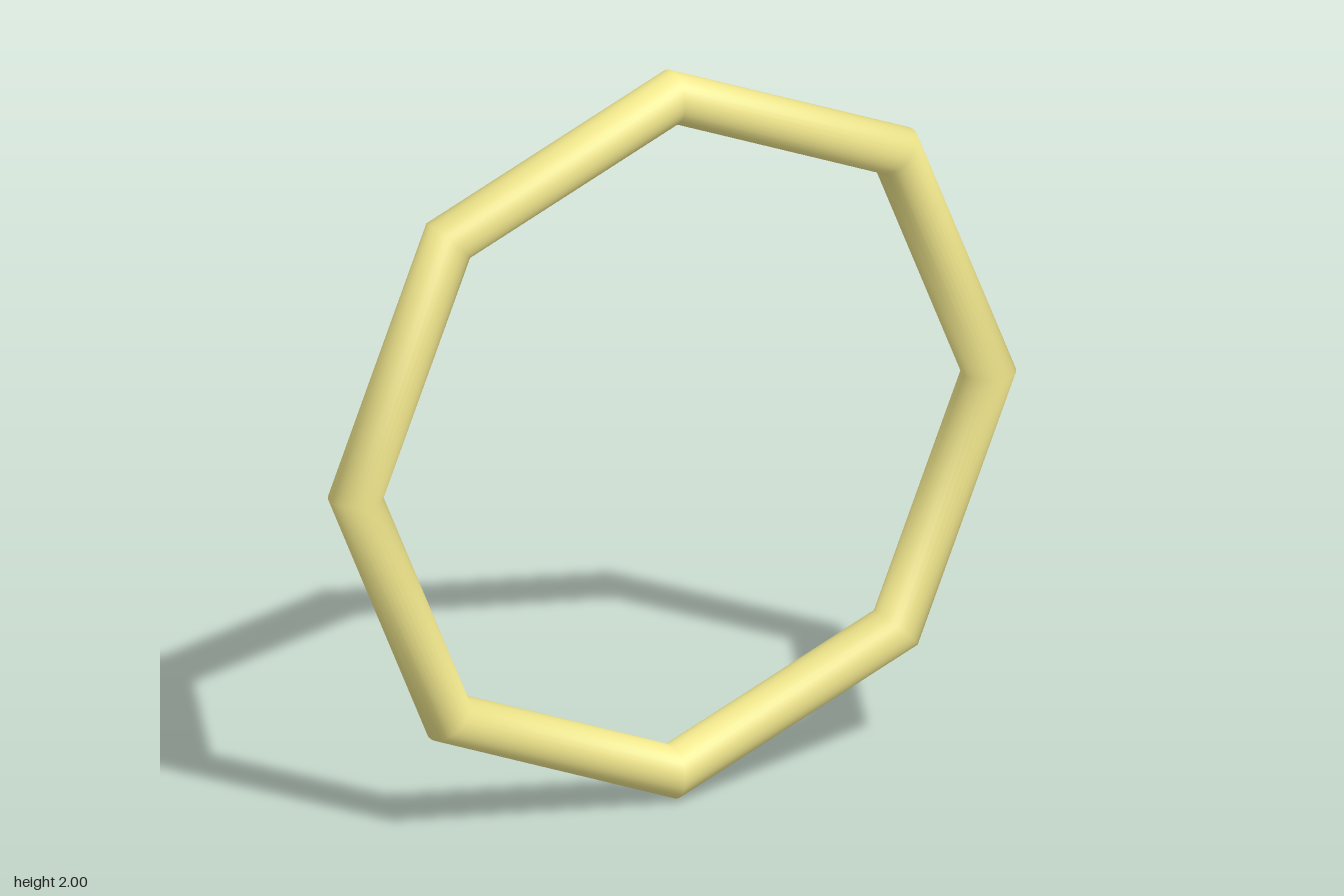
import * as THREE from 'three';

export function createModel() {
  const group = new THREE.Group();
  group.name = 'octagonalRing';

  // Round tube bent into an upright eight-sided ring, one corner at the top
  const tubeRadius = 0.0715;
  const ringRadius = 1 - tubeRadius;
  const ring = new THREE.Mesh(
    new THREE.TorusGeometry(ringRadius, tubeRadius, 32, 8),
    new THREE.MeshStandardMaterial({ color: 0xf0e68c })
  );
  ring.name = 'ring';
  ring.position.y = 1;
  group.add(ring);

  return group;
}
